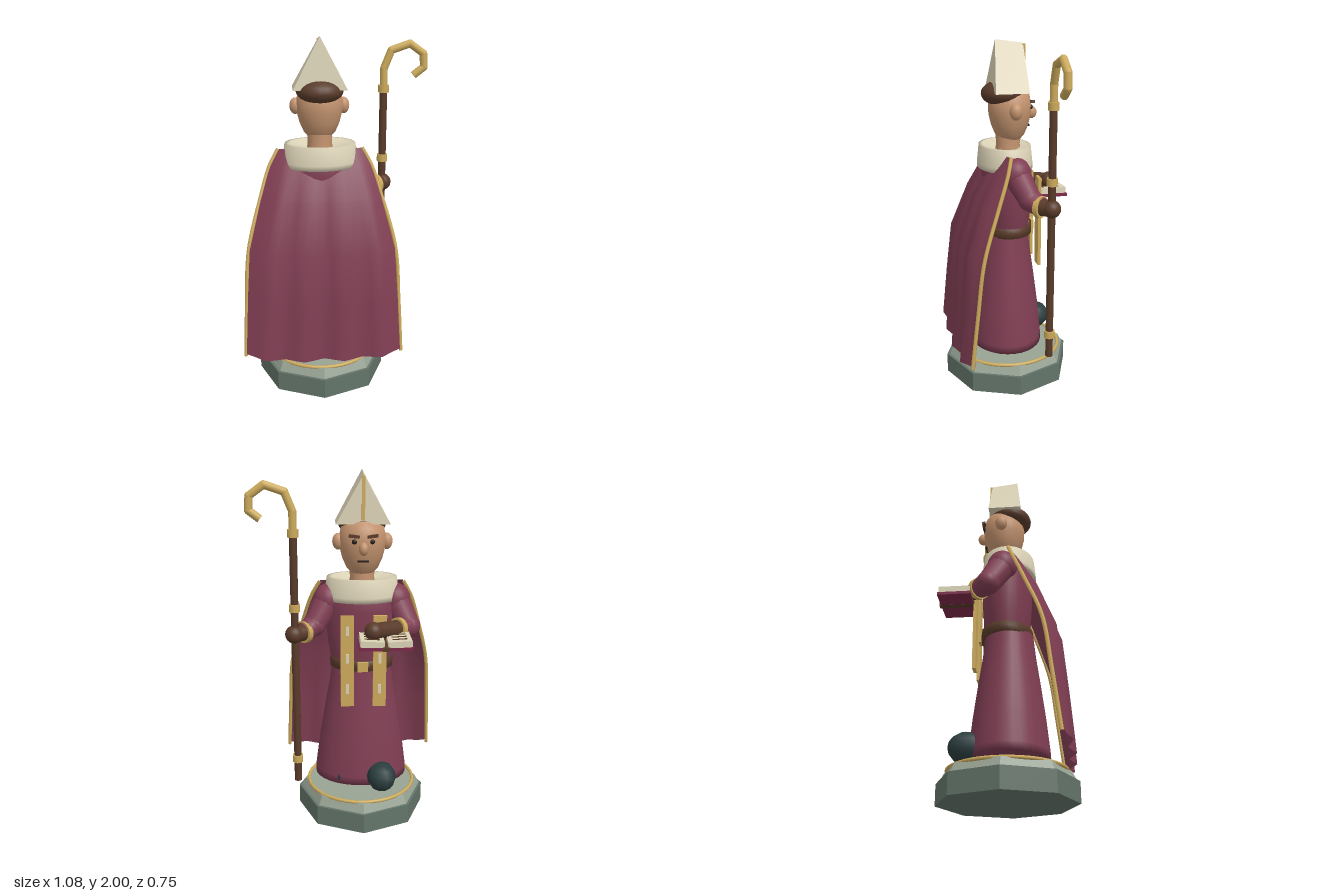
import * as THREE from 'three';
import { toCreasedNormals } from 'three/addons/utils/BufferGeometryUtils.js';

const V = (x, y, z) => new THREE.Vector3(x, y, z);
const CX = -0.09; // figure and plinth centre

export function createModel() {
  const root = new THREE.Group();
  root.name = 'robedFigure';
  const paint = (name, color, double) => {
    const m = new THREE.MeshStandardMaterial({ color });
    m.name = name;
    if (double) m.side = THREE.DoubleSide;
    return m;
  };
  const robe = paint('robePlum', 0x803e53, true);
  const cream = paint('cream', 0xdcd3b7, true);
  const skin = paint('skin', 0xc4946f);
  const brown = paint('brown', 0x593b2a);
  const gold = paint('gold', 0xcdab5c);
  const stone = paint('stone', 0x64756a);
  const paleStone = paint('paleStone', 0x98a394);
  const boot = paint('bootGreen', 0x2b3d3f);
  const crimson = paint('bookCrimson', 0x7c2a49);
  const dark = paint('eyeDark', 0x241c1a);

  const add = (name, geo, mat, x = 0, y = 0, z = 0) => {
    const m = new THREE.Mesh(geo, mat);
    m.name = name;
    m.position.set(x, y, z);
    root.add(m);
    return m;
  };
  const box = (name, mat, w, h, d, x, y, z) => add(name, new THREE.BoxGeometry(w, h, d), mat, x, y, z);
  const ball = (name, mat, rx, ry, rz, x, y, z, w = 20, h = 14) => {
    const m = add(name, new THREE.SphereGeometry(1, w, h), mat, x, y, z);
    m.scale.set(rx, ry, rz);
    return m;
  };
  const lathe = (name, mat, pts, zScale, z = 0, seg = 32) => {
    const m = add(name, new THREE.LatheGeometry(pts.map(p => new THREE.Vector2(...p)), seg), mat, CX, 0, z);
    m.scale.z = zScale;
    return m;
  };
  // tapered rod between two points
  const rod = (name, mat, a, b, ra, rb = ra, seg = 14) => {
    const m = add(name, new THREE.CylinderGeometry(rb, ra, a.distanceTo(b), seg), mat);
    m.position.copy(a).lerp(b, 0.5);
    m.quaternion.setFromUnitVectors(V(0, 1, 0), b.clone().sub(a).normalize());
    return m;
  };
  const flat = g => toCreasedNormals(g, 0.5);

  // Octagonal plinth with gold ring
  add('plinthBase', flat(new THREE.CylinderGeometry(0.375, 0.375, 0.115, 8)), stone, CX, 0.0575, 0);
  add('plinthStep', flat(new THREE.CylinderGeometry(0.335, 0.36, 0.052, 8)), paleStone, CX, 0.14, 0);
  add('plinthRing', new THREE.TorusGeometry(0.315, 0.01, 8, 40).rotateX(Math.PI / 2), gold, CX, 0.167, 0);

  // Boots, one stepping forward
  ball('forwardBoot', boot, 0.085, 0.085, 0.1, -0.2, 0.27, -0.2, 10, 8);
  ball('rearBoot', boot, 0.065, 0.07, 0.125, 0.03, 0.25, -0.06, 10, 8);
  ball('bootSole', boot, 0.06, 0.04, 0.1, -0.2, 0.215, -0.08, 10, 8);

  // Robe: skirt, torso and belt
  lathe('skirt', robe, [[0, 0.215], [0.272, 0.215], [0.27, 0.26], [0.245, 0.45], [0.212, 0.65],
    [0.185, 0.8], [0.168, 0.93]], 0.8, 0.012);
  lathe('torso', robe, [[0.17, 0.92], [0.19, 1.02], [0.2, 1.12], [0.205, 1.24], [0.2, 1.32],
    [0.16, 1.37], [0, 1.39]], 0.7);
  lathe('belt', brown, [[0.165, 0.9], [0.18, 0.9], [0.182, 0.93], [0.18, 0.958], [0.165, 0.958]], 0.8);
  box('buckle', gold, 0.06, 0.055, 0.02, CX, 0.93, -0.15);

  // Hanging gold panels with pale slots
  for (const x of [-0.183, -0.002]) {
    box('panel', gold, 0.074, 0.53, 0.018, x, 0.97, -0.17);
    for (const dy of [-0.16, 0.02, 0.18]) box('panelSlot', cream, 0.016, 0.055, 0.006, x, 0.97 + dy, -0.181);
  }

  // Pleated cape: rows of [y, half width, edge z, middle z, fold depth]
  const rows = [[1.39, 0.235, 0.03, 0.055, 0], [1.3, 0.285, 0.06, 0.11, 0.002], [1.13, 0.34, 0.125, 0.205, 0.006],
    [0.86, 0.41, 0.22, 0.295, 0.014], [0.56, 0.43, 0.262, 0.32, 0.017], [0.25, 0.445, 0.3, 0.343, 0.02]];
  const cols = 16, pos = [], idx = [];
  rows.forEach(([y, w, ze, zm, f], r) => {
    for (let c = 0; c <= cols; c++) {
      const u = c / cols * 2 - 1, k = 1 - u ** 4;
      const fold = [-1, 0, 1, 0][c % 4] * f * (Math.abs(u) < 1 ? 1 : 0);
      const sag = r === rows.length - 1 ? 0.015 - 0.035 * k : 0;
      pos.push(CX + u * w, y + sag, ze + (zm - ze) * k + fold);
      if (r && c) {
        const a = (r - 1) * (cols + 1) + c - 1, b = a + cols + 1;
        idx.push(a, b, a + 1, b, b + 1, a + 1);
      }
    }
  });
  const capeGeo = new THREE.BufferGeometry();
  capeGeo.setAttribute('position', new THREE.Float32BufferAttribute(pos, 3));
  capeGeo.setIndex(idx);
  capeGeo.computeVertexNormals();
  add('cape', capeGeo, robe);
  for (const s of [-1, 1]) {
    const edge = rows.map(([y, w, z]) => V(CX + s * w, y, z - 0.004));
    add('capeTrim', new THREE.TubeGeometry(new THREE.CatmullRomCurve3(edge), 24, 0.011, 6), gold);
  }

  // Collar
  lathe('collar', cream, [[0.17, 1.3], [0.212, 1.292], [0.212, 1.32], [0.198, 1.418], [0.17, 1.42],
    [0.07, 1.39]], 0.74, 0.01);

  // Arms: shoulder, sleeve, cuff, glove
  const arm = (side, shoulder, elbow, cuff, hand) => {
    ball(side + 'Shoulder', robe, 0.085, 0.09, 0.085, shoulder.x, shoulder.y, shoulder.z);
    rod(side + 'UpperSleeve', robe, shoulder, elbow, 0.08, 0.065);
    ball(side + 'Elbow', robe, 0.067, 0.067, 0.067, elbow.x, elbow.y, elbow.z);
    rod(side + 'LowerSleeve', robe, elbow, cuff, 0.065, 0.055);
    const d = hand.clone().sub(cuff).normalize().multiplyScalar(0.014);
    rod(side + 'Cuff', gold, cuff.clone().sub(d), cuff.clone().add(d), 0.062);
    rod(side + 'Forearm', brown, cuff, hand, 0.05, 0.043);
    ball(side + 'Hand', brown, 0.05, 0.05, 0.05, hand.x, hand.y, hand.z);
  };
  arm('left', V(0.1, 1.29, -0.01), V(0.18, 1.16, -0.07), V(0.235, 1.13, -0.115), V(0.29, 1.13, -0.165));
  arm('right', V(-0.28, 1.29, -0.01), V(-0.35, 1.15, -0.08), V(-0.285, 1.15, -0.14), V(-0.14, 1.175, -0.27));

  // Open book
  box('bookCover', crimson, 0.288, 0.016, 0.185, -0.203, 1.1, -0.27);
  box('bookSpine', brown, 0.04, 0.02, 0.2, -0.203, 1.101, -0.272);
  for (const s of [-1, 1]) {
    const px = -0.203 + s * 0.074;
    const page = box('pages', cream, 0.128, 0.034, 0.172, px, 1.124, -0.27);
    page.rotation.z = s * 0.06;
    for (const dz of [-0.045, 0, 0.045]) {
      box('writtenLine', brown, 0.08, 0.006, 0.007, px, 1.142, -0.27 + dz).rotation.z = s * 0.06;
    }
  }

  // Head and face
  lathe('neck', skin, [[0.075, 1.36], [0.068, 1.42], [0.072, 1.5]], 1, -0.01, 20);
  lathe('head', skin, [[0, 1.43], [0.055, 1.44], [0.088, 1.475], [0.112, 1.53], [0.127, 1.59], [0.13, 1.64],
    [0.118, 1.7], [0.08, 1.745], [0, 1.765]], 0.94, -0.02);
  ball('nose', skin, 0.026, 0.036, 0.032, CX, 1.595, -0.145, 14, 10);
  for (const s of [-1, 1]) {
    ball('ear', skin, 0.032, 0.046, 0.036, CX + s * 0.134, 1.62, -0.025, 14, 10);
    ball('eye', dark, 0.015, 0.013, 0.01, CX + s * 0.048, 1.632, -0.132, 10, 8);
    box('eyebrow', brown, 0.058, 0.016, 0.02, CX + s * 0.05, 1.662, -0.136).rotation.z = s * 0.12;
  }
  box('mouth', dark, 0.06, 0.01, 0.012, CX, 1.525, -0.124);
  const hair = ball('hair', brown, 0.132, 0.072, 0.125, CX, 1.712, 0.018);
  hair.rotation.x = 0.08;

  // Pointed hat: triangular prism, narrower towards the ridge
  const tri = new THREE.Shape([new THREE.Vector2(-0.148, 1.72), new THREE.Vector2(0.148, 1.72), new THREE.Vector2(0, 2)]);
  const hatGeo = new THREE.ExtrudeGeometry(tri, { depth: 0.19, bevelEnabled: false }).translate(0, 0, -0.1);
  const hp = hatGeo.attributes.position;
  for (let i = 0; i < hp.count; i++) {
    if (hp.getY(i) > 1.9) {
      const back = hp.getZ(i) > 0;
      hp.setZ(i, back ? 0.062 : -0.095);
      hp.setY(i, back ? 2 : 1.98);
    }
  }
  hatGeo.computeVertexNormals();
  add('hat', hatGeo, cream, CX, 0, 0);
  box('hatStripe', gold, 0.018, 0.23, 0.014, CX, 1.86, -0.102).rotation.x = 0.02;

  // Staff with bands and crook
  const sx = 0.285, sz = -0.165;
  rod('staff', brown, V(sx, 0.24, sz), V(sx, 1.68, sz), 0.022, 0.022, 10);
  for (const y of [0.38, 1.28, 1.685]) rod('staffBand', gold, V(sx, y - 0.021, sz), V(sx, y + 0.021, sz), 0.031, 0.031, 10);
  const crook = [[sx, 1.7], [sx, 1.8], [0.325, 1.9], [0.43, 1.936], [0.508, 1.88], [0.513, 1.805], [0.455, 1.76]]
    .map(([x, y]) => V(x, y, sz));
  crook.forEach((p, i) => {
    if (!i) return;
    rod('crook', gold, crook[i - 1], p, 0.022, 0.022, 10);
    if (i < crook.length - 1) ball('crookJoint', gold, 0.022, 0.022, 0.022, p.x, p.y, p.z, 10, 8);
  });

  return root;
}
